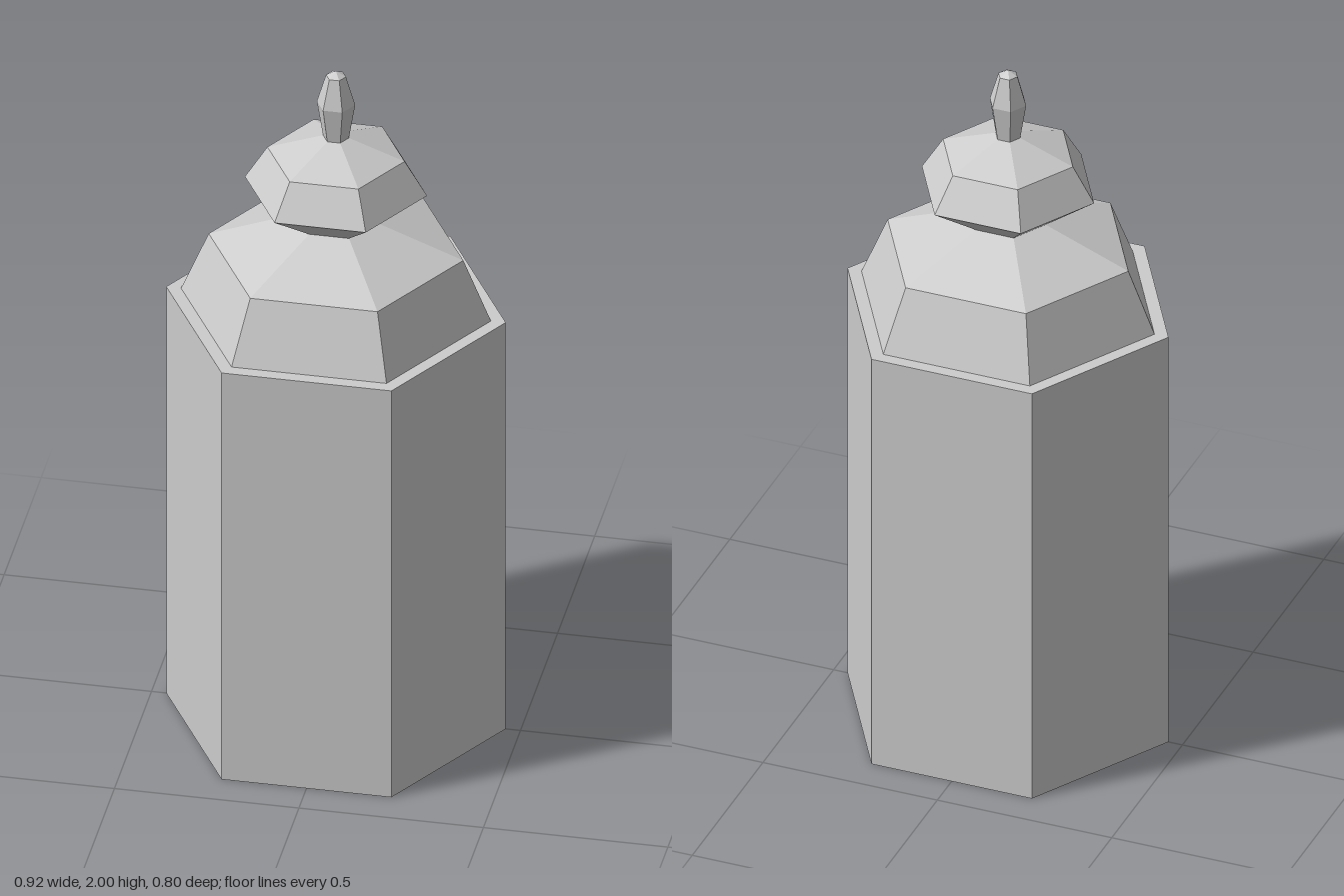
import * as THREE from 'three';

// Six-sided faceted solid from a [radius, height] profile, corners on the x axis
function hexTurned(name, profile, material) {
  const points = profile.map(([r, y]) => new THREE.Vector2(r, y));
  const geometry = new THREE.LatheGeometry(points, 6, Math.PI / 2).toNonIndexed();
  geometry.computeVertexNormals(); // flat facets
  const mesh = new THREE.Mesh(geometry, material);
  mesh.name = name;
  return mesh;
}

export function createModel() {
  const model = new THREE.Group();
  model.name = 'hexagonalLantern';
  const grey = new THREE.MeshStandardMaterial({ color: 0xcccccc });
  grey.name = 'plainGrey';

  // Hollow housing, open at the bottom, with a narrow ledge on top
  model.add(hexTurned('housing', [
    [0, 1.25], [0.415, 1.25], [0.415, 0], [0.46, 0], [0.46, 1.27], [0.41, 1.27],
  ], grey));

  // Column hanging inside the housing
  model.add(hexTurned('innerColumn', [[0, 0.23], [0.22, 0.23], [0.22, 1.25]], grey));

  // Sloping shoulder and shallow roof
  model.add(hexTurned('domeRoof', [[0.42, 1.27], [0.345, 1.45], [0.108, 1.54]], grey));

  // Flared cap above the pinched neck
  model.add(hexTurned('upperCap', [
    [0.108, 1.54], [0.247, 1.64], [0.186, 1.74], [0.035, 1.795],
  ], grey));

  // Pointed finial
  model.add(hexTurned('finial', [
    [0.035, 1.795], [0.052, 1.9], [0.027, 1.985], [0, 2],
  ], grey));

  return model;
}
